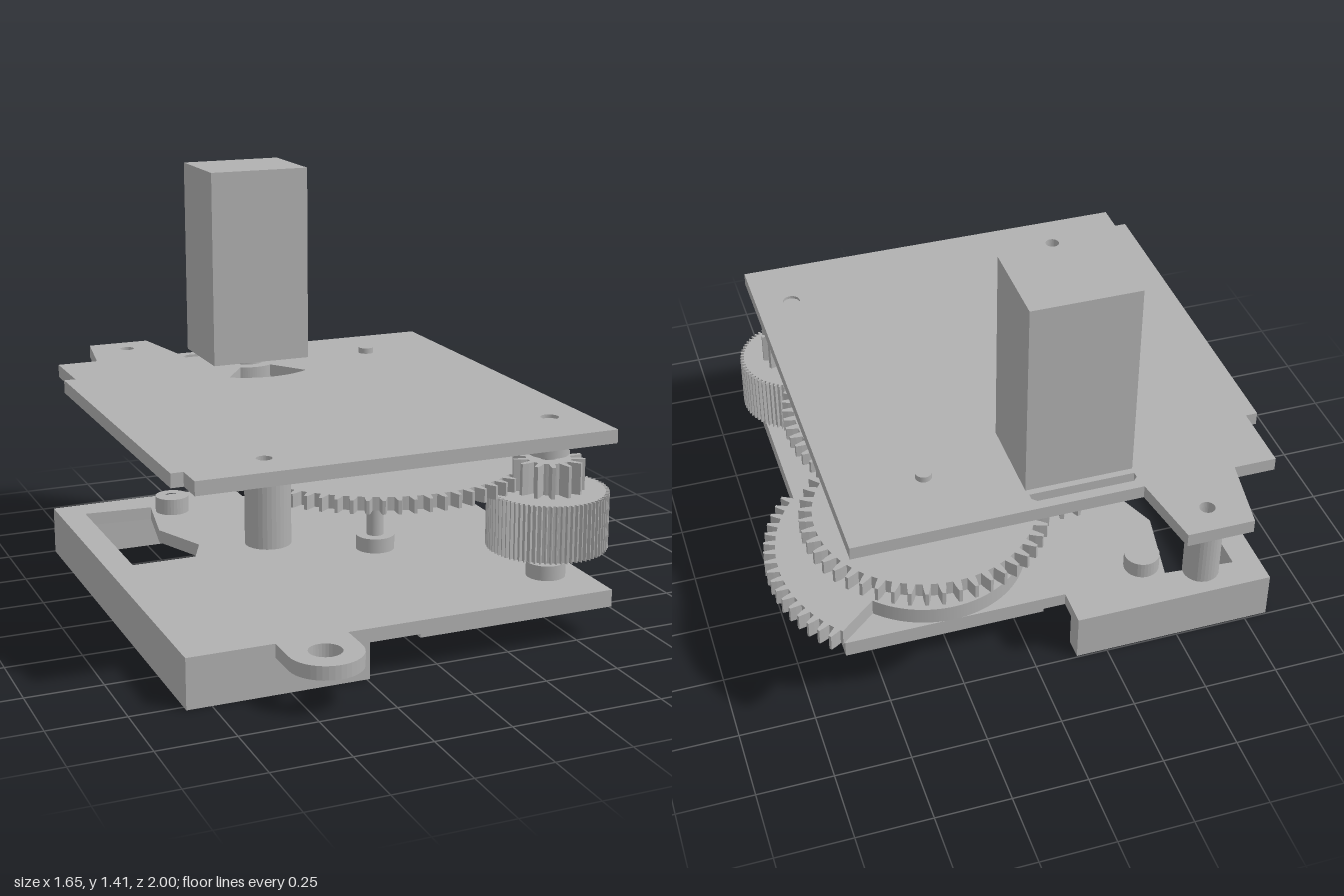
import * as THREE from 'three';

const metal = new THREE.MeshStandardMaterial({ color: 0xb0b0b0 });
metal.name = 'plain grey';

export function createModel() {
  const model = new THREE.Group();
  model.name = 'gearbox';

  const add = (name, geometry, parent = model) => {
    const mesh = new THREE.Mesh(geometry, metal);
    mesh.name = name;
    parent.add(mesh);
    return mesh;
  };

  // Plan points are [x, z]; shapes are extruded upwards from y0 to y1
  const toVectors = (pts) => pts.map(([x, z]) => new THREE.Vector2(x, -z));
  const circle = (x, z, r, n = 32) => Array.from({ length: n }, (_, i) => {
    const a = (i / n) * Math.PI * 2;
    return [x + r * Math.cos(a), z + r * Math.sin(a)];
  });
  const slab = (name, pts, y0, y1, holes = [], parent = model) => {
    const shape = new THREE.Shape(toVectors(pts));
    shape.holes = holes.map((h) => new THREE.Path(toVectors(h)));
    const geo = new THREE.ExtrudeGeometry(shape, { depth: y1 - y0, bevelEnabled: false });
    geo.rotateX(-Math.PI / 2).translate(0, y0, 0);
    return add(name, geo, parent);
  };
  const box = (name, x0, x1, y0, y1, z0, z1) =>
    add(name, new THREE.BoxGeometry(x1 - x0, y1 - y0, z1 - z0)
      .translate((x0 + x1) / 2, (y0 + y1) / 2, (z0 + z1) / 2));
  const rod = (name, x, z, r, y0, y1, parent = model) =>
    add(name, new THREE.CylinderGeometry(r, r, y1 - y0, 40).translate(x, (y0 + y1) / 2, z), parent);

  // Gear outline centred on the origin; teeth only where toothed(angle) is true
  const gearOutline = (r, root, teeth, toothed = () => true, plain = root) => {
    const pts = [];
    const steps = [[-0.5, 0], [-0.27, 0], [-0.2, 0.5], [-0.1, 1], [0.1, 1], [0.2, 0.5], [0.27, 0]];
    for (let i = 0; i < teeth; i++) {
      const mid = (i / teeth) * Math.PI * 2;
      const hasTooth = toothed(mid);
      for (const [t, h] of steps) {
        const a = mid + (t * Math.PI * 2) / teeth;
        const rad = hasTooth ? root + (r - root) * h : plain;
        pts.push([rad * Math.cos(a), rad * Math.sin(a)]);
      }
    }
    return pts;
  };
  const gear = (name, x, z, r, root, teeth, y0, y1, holes = []) => {
    const m = slab(name, gearOutline(r, root, teeth), y0, y1, holes);
    m.position.set(x, 0, z);
    return m;
  };

  // Base: plate with window, raised strip, and a skirt on three sides
  const windowCut = [[-0.74, -0.64], [-0.5, -0.62], [-0.55, -0.36], [-0.47, -0.16], [-0.52, -0.05], [-0.74, -0.05]];
  slab('basePlate', [[-0.83, 0.775], [0.61, 0.775], [0.61, -0.616], [-0.145, -0.616],
    [-0.145, -0.745], [-0.83, -0.745]], 0.12, 0.165, [windowCut]);
  box('basePad', -0.07, 0.61, 0.108, 0.12, -0.616, 0.775);
  box('leftSkirt', -0.83, -0.775, 0, 0.12, -0.745, 0.775);
  box('frontSkirt', -0.775, -0.24, 0, 0.12, 0.71, 0.775);
  box('backSkirt', -0.775, -0.145, 0, 0.12, -0.745, -0.675);

  // Mounting lug at the front edge
  const lug = [[-0.548, 0.775]];
  for (let i = 0; i <= 20; i++) {
    const a = Math.PI - (i / 20) * Math.PI;
    lug.push([-0.43 + 0.118 * Math.cos(a), 0.882 + 0.118 * Math.sin(a)]);
  }
  lug.push([-0.312, 0.775]);
  slab('mountingLug', lug, 0.12, 0.165, [circle(-0.43, 0.88, 0.053)]);
  slab('screwBoss', circle(-0.437, -0.56, 0.06), 0.165, 0.222, [circle(-0.437, -0.56, 0.025)]);

  // Top plate: tapered tab, corner notches, screw holes and motor openings
  const motor = { x: -0.145, z: -0.542 };
  const opening = [];
  for (const [r, dir] of [[0.253, 1], [0.1, -1]]) {
    for (let i = 0; i <= 14; i++) {
      const a = Math.PI / 2 + dir * (i / 7 - 1) * 0.6;
      opening.push([motor.x + r * Math.cos(a), motor.z + r * Math.sin(a)]);
    }
  }
  const slot = [[-0.335, -0.68], [-0.335, -0.7], [-0.32, -0.715], [0.0, -0.715], [0.015, -0.7], [0.015, -0.68]];
  slab('topPlate', [[-0.79, 0.775], [0.61, 0.775], [0.61, -0.75], [-0.342, -0.75], [-0.385, -1],
    [-0.605, -1], [-0.648, -0.75], [-0.79, -0.75], [-0.79, -0.52], [-0.83, -0.52],
    [-0.83, 0.675], [-0.79, 0.675]], 0.655, 0.7,
  [opening, slot, circle(-0.525, 0.635, 0.025), circle(0.485, 0.56, 0.03), circle(-0.49, -0.9, 0.025)]);

  // Hollow screw posts hanging from the top plate
  for (const [x, z, r] of [[-0.515, 0.635, 0.07], [-0.49, -0.895, 0.058]]) {
    slab('screwPost', circle(x, z, r), 0.435, 0.655, [circle(x, z, 0.025)]);
  }

  // Motor with its boss, shaft and pinion
  box('motor', -0.322, 0.032, 0.73, 1.41, -0.69, -0.394);
  rod('motorBoss', motor.x, motor.z, 0.057, 0.655, 0.73);
  rod('motorShaft', motor.x, motor.z, 0.016, 0.52, 0.66);
  gear('motorPinion', motor.x, motor.z, 0.095, 0.055, 10, 0.522, 0.64);

  // Three gear shafts, each with a bearing boss on both plates
  const shafts = [
    { name: 'sector', x: 0.305, z: -0.5, r: 0.045, boss: 0.066, y0: 0.165, y1: 0.655 },
    { name: 'idler', x: 0.077, z: 0.1, r: 0.029, boss: 0.066, y0: 0.165, y1: 0.655 },
    { name: 'drum', x: 0.483, z: 0.565, r: 0.029, boss: 0.065, y0: 0.105, y1: 0.69 },
  ];
  for (const s of shafts) {
    rod(s.name + 'Shaft', s.x, s.z, s.r, s.y0, s.y1);
    rod(s.name + 'LowerBoss', s.x, s.z, s.boss, 0.165, 0.215);
    rod(s.name + 'UpperBoss', s.x, s.z, s.boss, 0.58, 0.655);
  }
  const [a, b, c] = shafts;
  rod('sectorPin', a.x, a.z, 0.027, 0.1, 0.72);
  rod('idlerPin', b.x, b.z, 0.022, 0.105, 0.165);

  // First compound gear with a partly toothed sector below
  gear('firstGear', a.x, a.z, 0.4, 0.357, 48, 0.53, 0.578);
  gear('firstPinion', a.x, a.z, 0.115, 0.072, 13, 0.43, 0.53);
  const inSector = (t) => Math.abs(Math.atan2(Math.sin(t), Math.cos(t))) < 0.75;
  const sector = slab('sectorGear', gearOutline(0.52, 0.482, 72, inSector, 0.325), 0.383, 0.438);
  sector.position.set(a.x, 0, a.z);

  // Large idler gear and hub
  gear('idlerGear', b.x, b.z, 0.545, 0.505, 68, 0.462, 0.507);
  rod('idlerHub', b.x, b.z, 0.073, 0.33, 0.465);

  // Finely toothed drum, hollow underneath with ribs, and its pinion
  gear('drumRim', c.x, c.z, 0.2, 0.187, 72, 0.27, 0.46, [circle(0, 0, 0.16)]);
  rod('drumWeb', c.x, c.z, 0.165, 0.4, 0.459);
  rod('drumHub', c.x, c.z, 0.06, 0.27, 0.4);
  for (let i = 0; i < 3; i++) {
    const rib = add('drumRib', new THREE.BoxGeometry(0.33, 0.1, 0.016));
    rib.position.set(c.x, 0.35, c.z);
    rib.rotation.y = (i * Math.PI) / 3;
  }
  gear('drumPinion', c.x, c.z, 0.118, 0.073, 13, 0.46, 0.565);

  return model;
}
